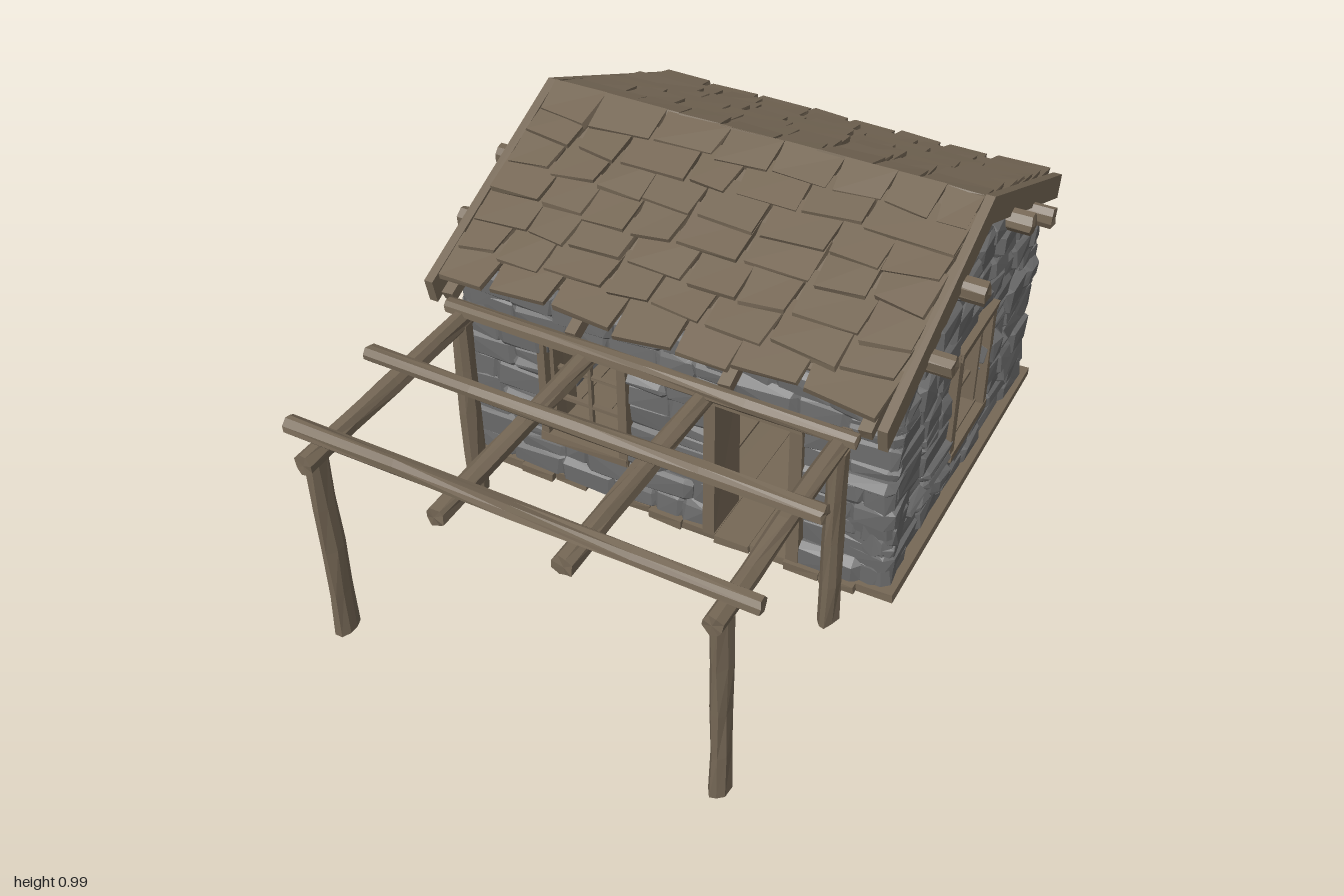
import * as THREE from 'three';
import { mergeGeometries } from 'three/addons/utils/BufferGeometryUtils.js';
import { ConvexGeometry } from 'three/addons/geometries/ConvexGeometry.js';

const wood = new THREE.MeshStandardMaterial({ color: 0x766856 });
wood.name = 'weathered wood';
const stone = new THREE.MeshStandardMaterial({ color: 0x6b6b6b });
stone.name = 'grey stone';

// Seeded random numbers
let seed = 7;
const rand = () => {
  seed = (seed * 16807) % 2147483647;
  return seed / 2147483647;
};
const vary = (a) => (rand() * 2 - 1) * a;

// Moves matching vertices together, then gives every face a flat normal
function roughen(geo, amount) {
  const moved = new Map();
  const p = geo.attributes.position;
  for (let i = 0; i < p.count; i++) {
    const k = [p.getX(i), p.getY(i), p.getZ(i)].map((v) => Math.round(v * 1e4)).join();
    if (!moved.has(k)) moved.set(k, [vary(amount), vary(amount), vary(amount)]);
    const d = moved.get(k);
    p.setXYZ(i, p.getX(i) + d[0], p.getY(i) + d[1], p.getZ(i) + d[2]);
  }
  const flat = geo.toNonIndexed();
  flat.computeVertexNormals();
  return flat;
}

const plank = (w, h, d, x, y, z, rough = 0.002) =>
  roughen(new THREE.BoxGeometry(w, h, d), rough).translate(x, y, z);

// Roughly hewn eight-sided timber along one axis
function timber(axis, length, w, h, x, y, z) {
  const geo = new THREE.CylinderGeometry(0.53, 0.53, length, 8, 4);
  geo.rotateY(Math.PI / 8).scale(w, 1, h);
  const rough = roughen(geo, 0.004);
  if (axis === 'x') rough.rotateZ(Math.PI / 2);
  if (axis === 'z') rough.rotateX(Math.PI / 2);
  return rough.translate(x, y, z);
}

function part(name, geos, material) {
  const mesh = new THREE.Mesh(mergeGeometries(geos), material);
  mesh.name = name;
  return mesh;
}

// One chiselled stone: rounded outer face with clipped corners, plain inner face
function block(x0, x1, y0, y1) {
  const pts = [];
  const front = 0.004 + vary(0.012) + (rand() < 0.1 ? 0.018 : 0);
  const w = (x1 - x0) / 2 + 0.01, h = (y1 - y0) / 2 + 0.009;
  const cx = (x0 + x1) / 2, cy = (y0 + y1) / 2;
  const add = (x, y, z) => pts.push(new THREE.Vector3(cx + x + vary(0.006), cy + y + vary(0.006), z + vary(0.005)));
  for (const sx of [-1, 1])
    for (const sy of [-1, 1]) {
      add(sx * (w - 0.022), sy * (h - 0.016), front);
      add(sx * w, sy * (h - 0.016), front - 0.018);
      add(sx * (w - 0.02), sy * h, front - 0.018);
      add(sx * w, sy * h, front - 0.045);
      add(sx * (w - 0.01), sy * (h - 0.008), -0.14);
    }
  return new ConvexGeometry(pts);
}

// Wall facing local +z: solid core with openings, covered by courses of stone
function wall(name, half, rows, openings, gable) {
  const g = new THREE.Group();
  g.name = name;
  const limit = (y) => (gable ? Math.min(half, (0.925 - y) / 0.446) : half);
  const outline = [[-half, 0.03], [half, 0.03], [half, 0.66]];
  if (gable) outline.push([0, 0.9]);
  outline.push([-half, 0.66]);
  const shape = new THREE.Shape(outline.map((p) => new THREE.Vector2(...p)));
  for (const [a, b, c, d] of openings)
    shape.holes.push(new THREE.Path([[a, c], [a, d], [b, d], [b, c]].map((p) => new THREE.Vector2(...p))));
  const core = new THREE.ExtrudeGeometry(shape, { depth: 0.085, bevelEnabled: false }).translate(0, 0, -0.115);
  g.add(part(name + 'Core', [core], stone));

  const blocks = [];
  for (let r = 0; r < rows.length - 1; r++) {
    const y0 = rows[r], y1 = rows[r + 1], mid = (y0 + y1) / 2;
    const e = limit(y1);
    let start = -e;
    const spans = [];
    for (const [a, b, c, d] of openings)
      if (mid > c && mid < d) {
        spans.push([start, a]);
        start = b;
      }
    spans.push([start, e]);
    for (const [s0, s1] of spans) {
      let x = s0;
      while (x < s1 - 0.001) {
        let next = x + 0.08 + rand() * 0.11;
        if (s1 - next < 0.07) next = s1;
        if (rand() < 0.18) {
          const cut = mid + vary(0.01);
          blocks.push(block(x, next, y0, cut), block(x, next, cut, y1));
        } else blocks.push(block(x, next, y0 + vary(0.008), y1 + vary(0.008)));
        x = next;
      }
    }
  }
  g.add(part(name + 'Stones', blocks, stone));
  return g;
}

// Rectangular frame of boards
function frame(a, b, c, d, w, depth, z, sill = true) {
  const out = [];
  for (const x of [a + w / 2, b - w / 2]) out.push(plank(w, d - c, depth, x, (c + d) / 2, z));
  out.push(plank(b - a, w, depth + 0.008, (a + b) / 2, d - w / 2, z));
  if (sill) out.push(plank(b - a, w, depth + 0.008, (a + b) / 2, c + w / 2, z));
  return out;
}

// Window with two columns and three rows of panes left open
function windowFrame(x, c, d) {
  const a = x - 0.14, b = x + 0.14;
  const geos = frame(a, b, c, d, 0.026, 0.15, -0.055);
  geos.push(...frame(a + 0.024, b - 0.024, c + 0.024, d - 0.024, 0.014, 0.05, -0.03));
  geos.push(plank(0.011, d - c - 0.06, 0.014, x, (c + d) / 2, -0.03, 0.001));
  for (const t of [1 / 3, 2 / 3])
    geos.push(plank(0.22, 0.011, 0.014, x, c + 0.03 + (d - c - 0.06) * t, -0.03, 0.001));
  return part('windowFrame', geos, wood);
}

// Shingle narrowing towards its lower end
function shingle(width, length) {
  const geo = new THREE.BoxGeometry(width, 0.018, length);
  const p = geo.attributes.position;
  const left = 0.002 + rand() * 0.016, right = 0.002 + rand() * 0.016, skew = vary(0.012);
  for (let i = 0; i < p.count; i++)
    if (p.getZ(i) > 0) {
      const atLeft = p.getX(i) < 0;
      p.setX(i, p.getX(i) + (atLeft ? left : -right));
      p.setZ(i, p.getZ(i) + (atLeft ? skew : -skew));
    }
  return roughen(geo, 0.003);
}

// One roof slope, running down along local +z
function roofSlope(name) {
  const g = new THREE.Group();
  g.name = name;
  g.add(part('roofDeck', [plank(1.29, 0.012, 0.6, 0, 0.002, 0.3, 0)], wood));
  const shingles = [];
  for (let r = 0; r < 7; r++) {
    const end = (r + 1) * 0.097;
    let x = -0.648;
    while (x < 0.645) {
      let next = x + 0.13 + rand() * 0.08;
      if (0.648 - next < 0.1) next = 0.648;
      const bottom = end + vary(0.012), top = r ? end - 0.145 : -0.014;
      const geo = shingle(next - x, bottom - top);
      geo.rotateX(r ? -0.12 : -0.06);
      shingles.push(geo.translate((x + next) / 2, 0.023 + vary(0.003), (top + bottom) / 2));
      x = next;
    }
  }
  g.add(part('shingles', shingles, wood));
  g.add(part('rafters', [-0.61, -0.225, 0.225, 0.61].map((x) =>
    plank(0.034, 0.036, 0.7, x, -0.02, 0.36)), wood));
  g.rotation.x = Math.atan(0.446);
  const pivot = new THREE.Group();
  pivot.name = name + 'Pivot';
  pivot.add(g);
  pivot.position.set(0, 0.957, -0.34);
  return pivot;
}

export function createModel() {
  const model = new THREE.Group();
  model.name = 'stoneCabin';

  // Floor boards running front to back with uneven ends
  const boards = [];
  for (let i = 0; i < 13; i++)
    boards.push(plank(0.104, 0.027, 1.1 + vary(0.018), -0.636 + i * 0.106, 0.025, -0.34 + vary(0.01), 0.003));
  model.add(part('floorBoards', boards, wood));

  // Walls
  const lowRows = [0.03, 0.1, 0.18, 0.25, 0.31, 0.39, 0.46, 0.53, 0.6, 0.665];
  const gableRows = [0.03, 0.09, 0.15, 0.21, 0.28, 0.355, 0.43, 0.5, 0.57, 0.64, 0.71, 0.78, 0.84, 0.89];
  const door = [0.135, 0.395, 0.03, 0.53];
  const front = wall('frontWall', 0.655, lowRows, [[-0.385, -0.135, 0.18, 0.53], door], false);
  front.position.z = 0.195;
  front.add(windowFrame(-0.26, 0.17, 0.54));
  front.add(part('doorFrame', frame(0.12, 0.41, 0.03, 0.54, 0.036, 0.15, -0.055, false), wood));
  const back = wall('backWall', 0.655, lowRows, [[-0.125, 0.125, 0.18, 0.53]], false);
  back.position.z = -0.87;
  back.rotation.y = Math.PI;
  back.add(windowFrame(0, 0.17, 0.54));
  model.add(front, back);
  for (const s of [1, -1]) {
    const side = wall(s > 0 ? 'leftWall' : 'rightWall', 0.515, gableRows, [[-0.125, 0.125, 0.21, 0.57]], true);
    side.position.set(s * 0.66, 0, -0.333);
    side.rotation.y = s * Math.PI / 2;
    side.add(windowFrame(0, 0.2, 0.58));
    model.add(side);
  }

  // Roof slopes, gable boards and purlins
  const backSlope = roofSlope('backRoof');
  backSlope.rotation.y = Math.PI;
  model.add(roofSlope('frontRoof'), backSlope);
  const chevron = new THREE.Shape([[-0.66, 0.695], [-0.645, 0.622], [0, 0.907], [0.645, 0.622], [0.66, 0.695], [0, 0.99]]
    .map((p) => new THREE.Vector2(...p)));
  const gableBoards = [-0.66, 0.66].map((x) =>
    new THREE.ExtrudeGeometry(chevron, { depth: 0.026, bevelEnabled: false })
      .translate(0, 0, -0.013).rotateY(Math.PI / 2).translate(x, 0, -0.34));
  model.add(part('gableBoards', gableBoards, wood));
  const purlins = [[-0.73, 0.72], [-0.52, 0.815], [-0.16, 0.815], [0.04, 0.72]]
    .map(([z, y]) => timber('x', 1.47, 0.064, 0.052, 0, y, z));
  model.add(part('purlins', purlins, wood));

  // Open porch: posts, rafters and cross beams
  const posts = [], rafters = [];
  for (const x of [-0.555, 0.555])
    for (const z of [0.33, 0.95]) posts.push(timber('y', 0.6, 0.048, 0.072, x, 0.303, z));
  for (const x of [-0.555, -0.17, 0.175, 0.555])
    rafters.push(timber('z', 0.71, 0.05, 0.055, x, 0.613, 0.642));
  const beams = [timber('x', 1.2, 0.042, 0.045, 0, 0.64, 0.32)];
  for (const z of [0.61, 0.93]) beams.push(timber('x', 1.29, 0.042, 0.045, 0, 0.66, z));
  model.add(part('porchPosts', posts, wood), part('porchRafters', rafters, wood), part('porchBeams', beams, wood));
  return model;
}
